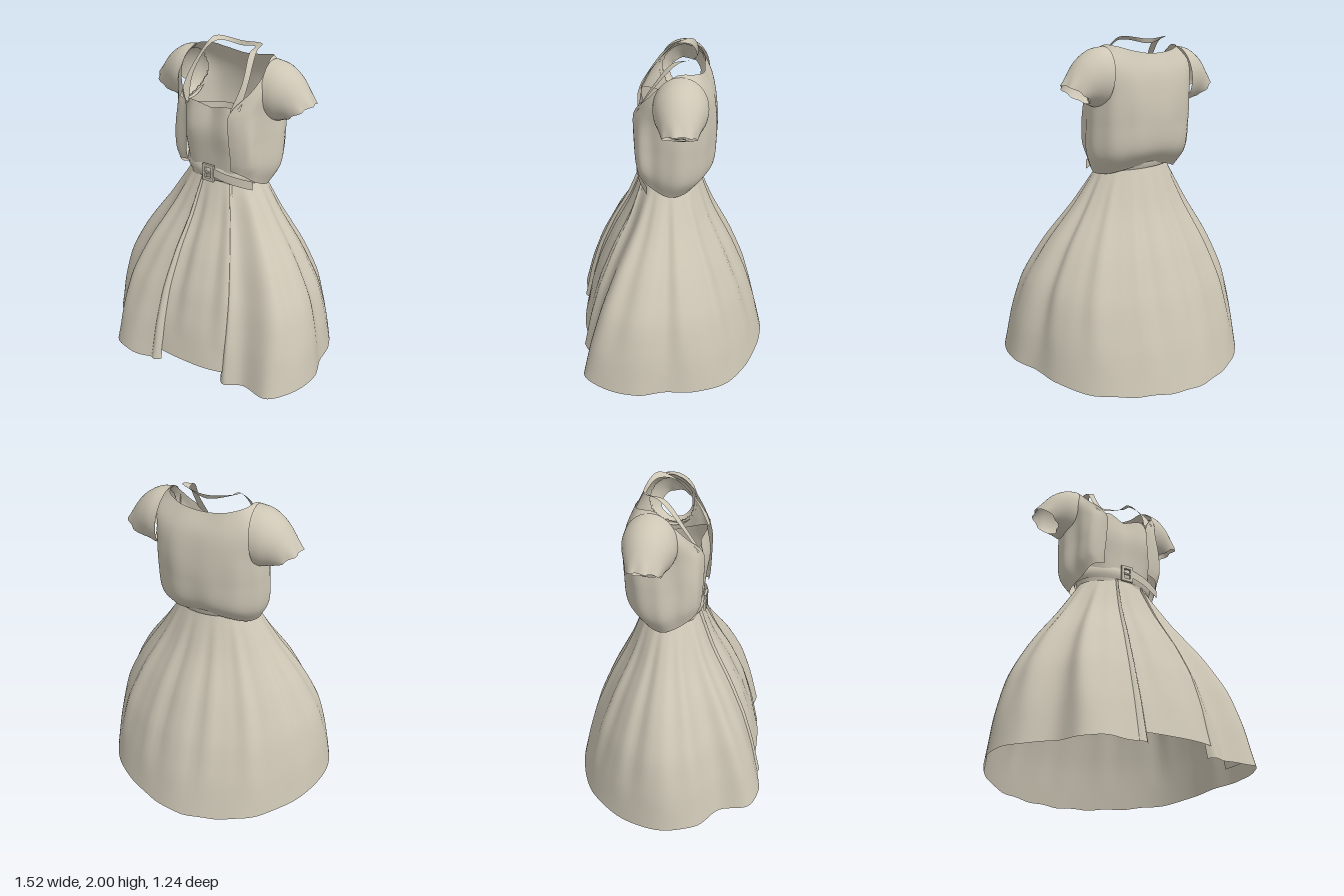
import * as THREE from 'three';
import { mergeVertices } from 'three/addons/utils/BufferGeometryUtils.js';

const fabric = new THREE.MeshStandardMaterial({ color: 0xcdc6b5, side: THREE.DoubleSide });
fabric.name = 'beige fabric';

const V = (x, y, z) => new THREE.Vector3(x, y, z);
const spline = (pts) => new THREE.CatmullRomCurve3(pts);
const mesh = (name, geometry) => {
  const m = new THREE.Mesh(geometry, fabric);
  m.name = name;
  return m;
};

// Cloth sheet from f(u, v); cells whose centre is rejected by skip become holes
function sheet(f, nu, nv, skip = () => false) {
  const pos = [], index = [];
  for (let j = 0; j <= nv; j++)
    for (let i = 0; i <= nu; i++) pos.push(...f(i / nu, j / nv).toArray());
  for (let j = 0; j < nv; j++)
    for (let i = 0; i < nu; i++) {
      if (skip(f((i + 0.5) / nu, (j + 0.5) / nv))) continue;
      const a = j * (nu + 1) + i, b = a + 1, c = a + nu + 1, d = c + 1;
      index.push(a, b, c, b, d, c);
    }
  let g = new THREE.BufferGeometry();
  g.setAttribute('position', new THREE.Float32BufferAttribute(pos, 3));
  g.setIndex(index);
  g = mergeVertices(g, 1e-5);
  g.computeVertexNormals();
  return g;
}

// Half a ring (+x side, ending on the centre line) mirrored to a whole one
const whole = (half) => {
  const pts = half.map((p) => V(...p));
  return [...pts, ...pts.slice(0, -1).reverse().map((p) => V(-p.x, p.y, p.z))];
};

// Smooth surface through a stack of rings
function patch(rings) {
  const rows = rings.map(spline);
  return (u, v) => spline(rows.map((r) => r.getPoint(u))).getPoint(v);
}

// Flare of the skirt from waist to hem: x holds width, y holds depth
const flare = spline([[0, 0], [0.28, 0.2], [0.59, 0.47], [0.82, 0.7], [0.935, 0.87], [1, 1]]
  .map(([a, b]) => V(a, b, 0)));

function skirt(hem, hemHeight, fit) {
  const line = spline(hem.map(([x, z]) => V(x, 0, z)));
  return (u, v) => {
    const h = line.getPoint(u), a = Math.atan2(h.x, h.z), s = flare.getPoint(v);
    const fold = 0.009 * Math.sin(Math.PI * Math.min(v * 1.1, 1)) *
      (Math.sin(a * 15) + 0.5 * Math.sin(a * 26 + 1));
    const wx = 0.225 * fit * Math.sin(a), wz = 0.168 * fit * Math.cos(a);
    return V(
      THREE.MathUtils.lerp(wx, h.x, s.x) + fold * Math.sin(a),
      THREE.MathUtils.lerp(1.25, hemHeight(h), v),
      THREE.MathUtils.lerp(wz, h.z, s.y) + fold * Math.cos(a)
    );
  };
}

export function createModel() {
  const dress = new THREE.Group();
  dress.name = 'dress';

  // Overskirt, open at the front, with a slightly uneven hem
  const hem = [
    [0.36, 0.53], [0.44, 0.49], [0.62, 0.5], [0.72, 0.37], [0.76, 0.17], [0.71, 0], [0.68, -0.18],
    [0.55, -0.4], [0.3, -0.55], [0, -0.62], [-0.3, -0.55], [-0.5, -0.43], [-0.68, -0.2],
    [-0.76, 0.08], [-0.69, 0.28], [-0.54, 0.4], [-0.47, 0.57], [-0.33, 0.62], [-0.17, 0.595],
  ];
  const over = skirt(hem, (h) => Math.min(0.105, 0.08 + 0.125 * h.z) + 0.004 * Math.sin(h.x * 30), 1);
  dress.add(mesh('overskirt', sheet(over, 132, 24)));

  // Turned-back edges of the opening
  for (const [u, dir] of [[0, -1], [1, 1]]) {
    const facing = (t, v) => over(u, v).add(
      V(dir * t * (0.012 + 0.05 * v), 0, 0.018 * Math.sin(t * Math.PI) - 0.02 * t * v));
    dress.add(mesh('openingFacing', sheet(facing, 4, 24)));
  }

  // Underskirt across the front and round to the sides
  const underHem = [
    [0.7, 0.14], [0.68, 0.34], [0.58, 0.45], [0.44, 0.46], [0.34, 0.51], [0.2, 0.55], [0, 0.565],
    [-0.17, 0.565], [-0.32, 0.585], [-0.43, 0.53], [-0.51, 0.37], [-0.65, 0.25], [-0.72, 0.1],
  ];
  dress.add(mesh('underskirt', sheet(skirt(underHem, () => 0.17, 0.97), 72, 20)));

  // Bodice with a scooped neckline
  const bodice = patch([
    [[0, 1.22, 0.165], [0.13, 1.22, 0.145], [0.22, 1.22, 0.05], [0.21, 1.22, -0.06], [0.12, 1.22, -0.14], [0, 1.22, -0.158]],
    [[0, 1.4, 0.175], [0.15, 1.4, 0.165], [0.24, 1.4, 0.05], [0.25, 1.4, -0.06], [0.14, 1.4, -0.15], [0, 1.4, -0.165]],
    [[0, 1.55, 0.182], [0.15, 1.55, 0.187], [0.25, 1.55, 0.06], [0.27, 1.52, -0.06], [0.15, 1.5, -0.165], [0, 1.5, -0.18]],
    [[0, 1.68, 0.155], [0.13, 1.71, 0.17], [0.24, 1.64, 0.06], [0.265, 1.59, -0.06], [0.15, 1.58, -0.17], [0, 1.58, -0.185]],
  ].map(whole));
  dress.add(mesh('bodice', sheet(bodice, 60, 14)));

  // Halter strap around the neck
  const strap = patch([
    [[0.14, 1.69, 0.18], [0.165, 1.83, 0.1], [0.135, 1.97, -0.02], [0.115, 1.98, -0.11], [0, 1.96, -0.145]],
    [[0.205, 1.71, 0.175], [0.2, 1.83, 0.095], [0.165, 1.98, -0.05], [0.155, 2, -0.12], [0, 1.985, -0.155]],
  ].map(whole));
  dress.add(mesh('halterStrap', sheet(strap, 48, 2)));

  // Belt, its loose end and the buckle
  const belt = (u, v) => {
    const a = u * Math.PI * 2, r = 0.012 * Math.sin(v * Math.PI);
    return V((0.245 + r) * Math.sin(a), 1.245 + 0.08 * v - 0.015 * Math.sin(a), (0.178 + r) * Math.cos(a));
  };
  dress.add(mesh('belt', sheet(belt, 48, 4)));
  const beltEnd = (u, v) => V(0.03 + 0.23 * u, 1.3 - 0.055 * u + 0.055 * (v - 0.5), 0.195 - 0.075 * u * u);
  dress.add(mesh('beltEnd', sheet(beltEnd, 8, 1)));
  const frame = new THREE.Shape();
  frame.moveTo(-0.038, -0.052).lineTo(0.038, -0.052).lineTo(0.038, 0.052).lineTo(-0.038, 0.052);
  const hole = new THREE.Path();
  hole.moveTo(-0.022, -0.034).lineTo(-0.022, 0.034).lineTo(0.022, 0.034).lineTo(0.022, -0.034);
  frame.holes.push(hole);
  const buckle = mesh('buckle', new THREE.ExtrudeGeometry(frame, { depth: 0.014, bevelEnabled: false }));
  buckle.position.set(0, 1.29, 0.186);
  const prong = mesh('buckleProng', new THREE.BoxGeometry(0.045, 0.01, 0.01));
  prong.position.set(0, 1.29, 0.196);
  dress.add(buckle, prong);

  // Short open jacket: rings from its hem to its neckline, front edge to centre back,
  // with a deep crease between its front and side
  const jacketRings = [
    [[0.15, 1.335, 0.185], [0.22, 1.315, 0.165], [0.26, 1.25, 0.08], [0.28, 1.215, -0.01], [0.24, 1.22, -0.1], [0.14, 1.25, -0.165], [0, 1.27, -0.18]],
    [[0.155, 1.38, 0.192], [0.25, 1.38, 0.165], [0.29, 1.35, 0.075], [0.33, 1.33, -0.03], [0.29, 1.33, -0.15], [0.17, 1.35, -0.235], [0, 1.36, -0.25]],
    [[0.145, 1.52, 0.2], [0.25, 1.52, 0.168], [0.285, 1.52, 0.075], [0.332, 1.52, -0.04], [0.3, 1.52, -0.17], [0.18, 1.52, -0.25], [0, 1.52, -0.272]],
    [[0.14, 1.66, 0.2], [0.235, 1.67, 0.155], [0.285, 1.67, 0.07], [0.322, 1.67, -0.05], [0.295, 1.67, -0.18], [0.18, 1.67, -0.25], [0, 1.67, -0.264]],
    [[0.155, 1.7, 0.188], [0.24, 1.75, 0.13], [0.295, 1.81, 0.06], [0.33, 1.86, -0.06], [0.3, 1.84, -0.17], [0.17, 1.8, -0.232], [0, 1.8, -0.24]],
    [[0.175, 1.73, 0.175], [0.235, 1.805, 0.115], [0.265, 1.88, 0.05], [0.25, 1.95, -0.05], [0.22, 1.945, -0.14], [0.13, 1.92, -0.185], [0, 1.905, -0.19]],
  ].map(whole);
  const jacketBase = patch(jacketRings);
  const jacket = (u, v) => {
    const p = jacketBase(u, v), crease = 1 + 0.015 * Math.sin(u * 75) * Math.sin(Math.PI * v) * (1 - v);
    return V(p.x * crease, p.y, p.z * crease);
  };
  // Armholes are left open where the sleeves join
  const inArmhole = (p) => Math.abs(p.x) > 0.2 &&
    ((p.y - 1.765) / 0.145) ** 2 + ((p.z + 0.07) / 0.13) ** 2 < 1;
  dress.add(mesh('jacket', sheet(jacket, 160, 64, inArmhole)));

  // Cap sleeves: each ring is [top x, top y, bottom x, bottom y, half depth]
  const sleeveRings = [
    [0.26, 1.945, 0.3, 1.605, 0.15], [0.335, 1.932, 0.325, 1.608, 0.145],
    [0.42, 1.877, 0.345, 1.615, 0.126], [0.48, 1.802, 0.36, 1.622, 0.108], [0.525, 1.735, 0.37, 1.63, 0.095],
  ];
  for (const side of [1, -1]) {
    const rows = sleeveRings.map(([tx, ty, bx, by, d], k) => Array.from({ length: 25 }, (_, i) => {
      const a = (i % 24) / 24 * Math.PI * 2, t = (1 - Math.cos(a)) / 2;
      const ragged = k === 4 ? 0.008 * Math.sin(a * 7) : 0;
      return V(side * (tx + (bx - tx) * t + ragged), ty + (by - ty) * t, -0.07 + d * Math.sin(a));
    }));
    dress.add(mesh(side > 0 ? 'leftSleeve' : 'rightSleeve', sheet(patch(rows), 48, 12)));
  }

  return dress;
}
